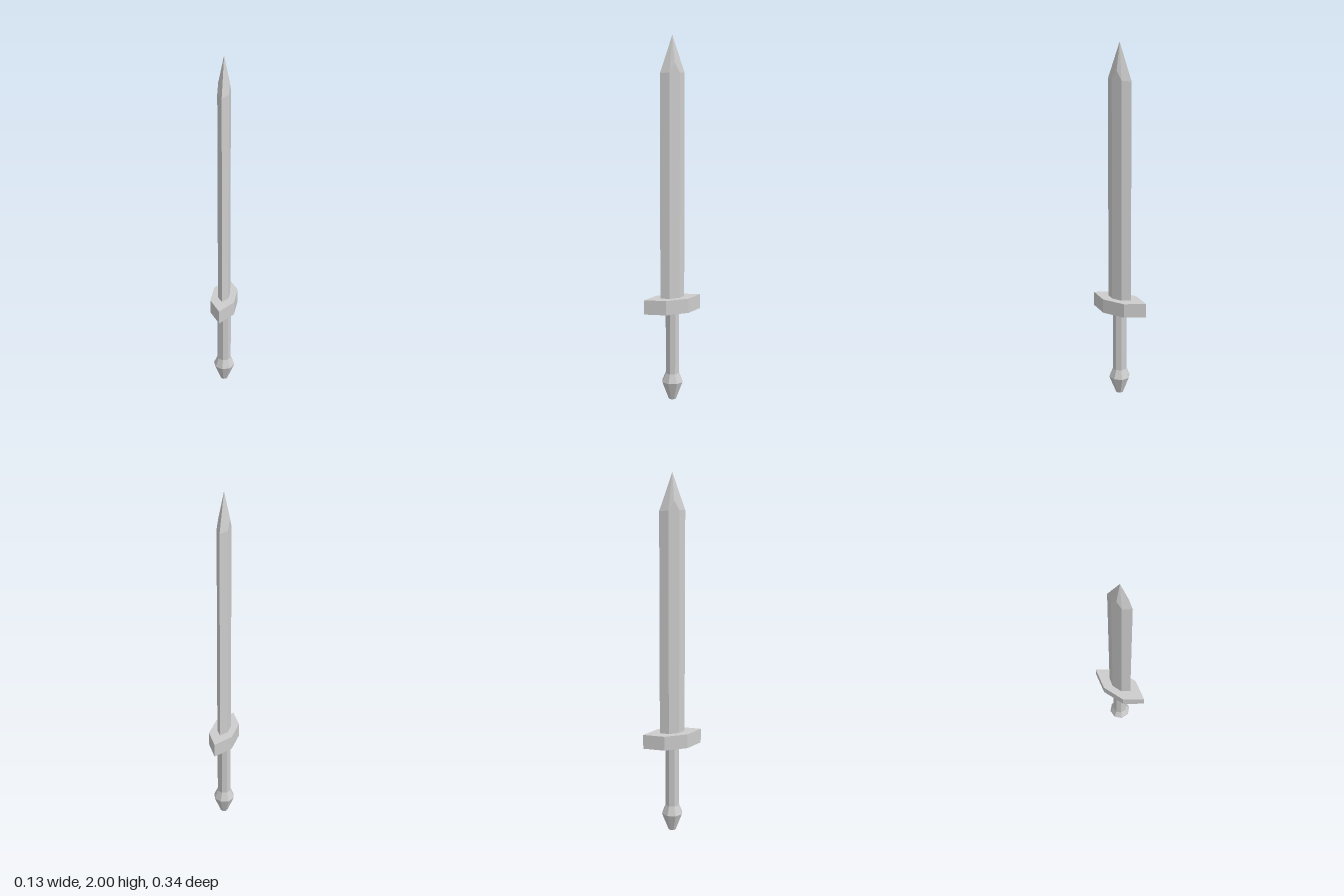
import * as THREE from 'three';

const steel = new THREE.MeshStandardMaterial({ color: 0xcccccc, flatShading: true });
steel.name = 'grey steel';

// Elongated hexagon, x = half width, flat = half length of the sides, tip = z of the points
function hexagonPrism(x, flat, tip, y0, y1) {
  const outline = [[0, tip], [x, flat], [x, -flat], [0, -tip], [-x, -flat], [-x, flat]];
  const shape = new THREE.Shape(outline.map(([px, pz]) => new THREE.Vector2(px, -pz)).reverse());
  return new THREE.ExtrudeGeometry(shape, { depth: y1 - y0, bevelEnabled: false })
    .rotateX(-Math.PI / 2).translate(0, y0, 0);
}

// Blade: two matching rings of eight points, with an apex above
function bladeGeometry(y0) {
  const ring = [
    [0, 1.8, 0.072], [0.03, 1.805, 0.03], [0.03, 1.855, 0], [0.03, 1.805, -0.03],
    [0, 1.8, -0.072], [-0.03, 1.805, -0.03], [-0.03, 1.855, 0], [-0.03, 1.805, 0.03],
  ];
  const apex = [0, 2, 0], base = [0, y0, 0], pos = [];
  ring.forEach((a, i) => {
    const b = ring[(i + 1) % ring.length];
    const a0 = [a[0], y0, a[2]], b0 = [b[0], y0, b[2]];
    pos.push(...a0, ...b0, ...b, ...a0, ...b, ...a); // side
    pos.push(...a, ...b, ...apex);                   // point
    pos.push(...b0, ...a0, ...base);                 // underside
  });
  const g = new THREE.BufferGeometry();
  g.setAttribute('position', new THREE.Float32BufferAttribute(pos, 3));
  g.computeVertexNormals();
  return g;
}

// Eight-sided turned part from [radius, y] points
function turned(points) {
  return new THREE.LatheGeometry(points.map(([r, y]) => new THREE.Vector2(r, y)), 8);
}

export function createModel() {
  const model = new THREE.Group();
  model.name = 'sword';
  const add = (name, geometry) => {
    const mesh = new THREE.Mesh(geometry, steel);
    mesh.name = name;
    model.add(mesh);
  };
  add('blade', bladeGeometry(0.57));
  add('crossguard', hexagonPrism(0.067, 0.067, 0.168, 0.5, 0.58));
  add('grip', turned([[0.039, 0.145], [0.039, 0.505]]));
  add('pommel', turned([[0, 0], [0.021, 0], [0.06, 0.1], [0.039, 0.15], [0, 0.15]]));
  return model;
}
